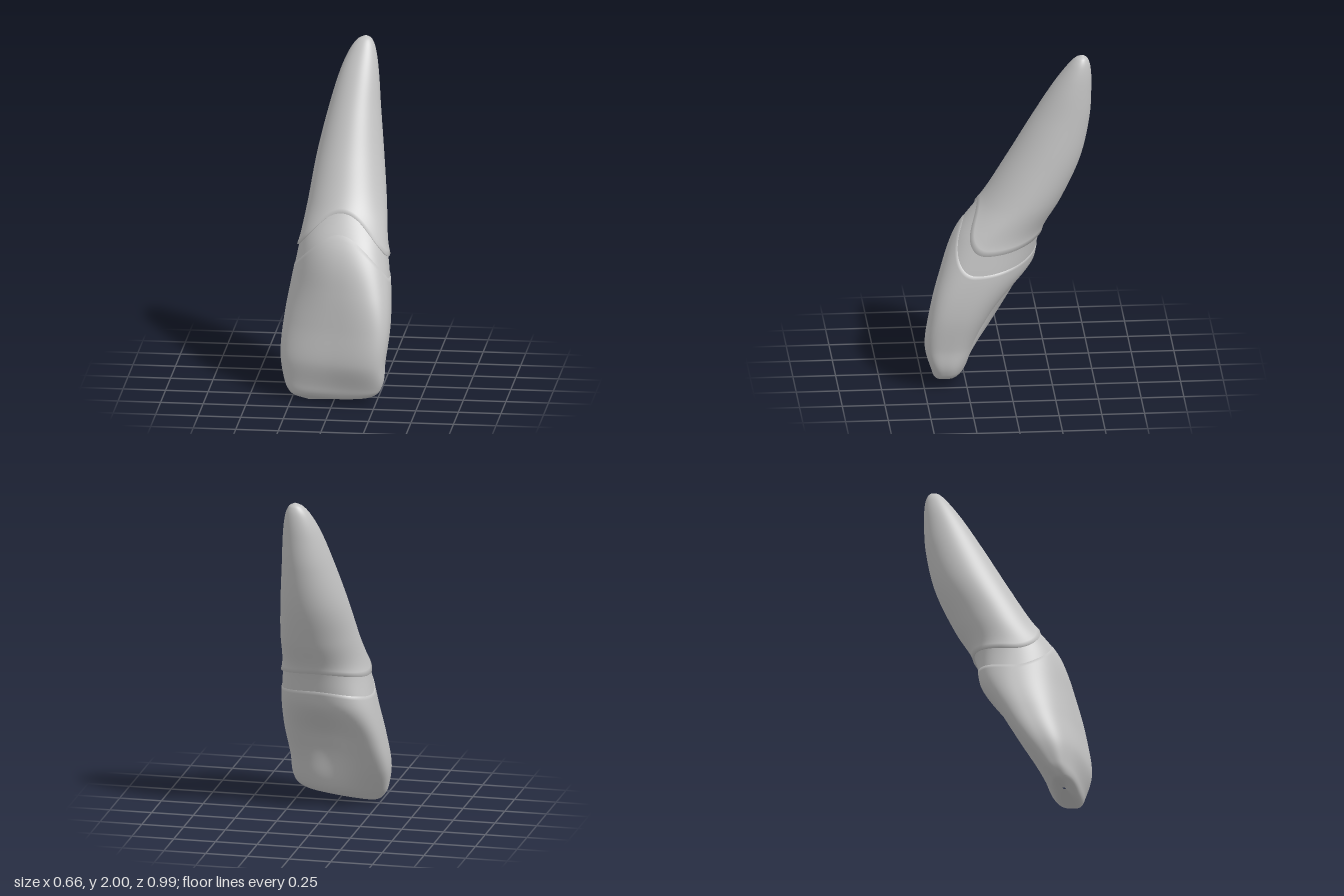
import * as THREE from 'three';

const { smoothstep, lerp, clamp } = THREE.MathUtils;

// Outline of the tooth by height: y, xMin, xMax, zBack, zFront
const outline = [
  [0, -0.16, -0.14, 0.31, 0.33],
  [0.015, -0.23, 0.02, 0.26, 0.37],
  [0.04, -0.267, 0.21, 0.23, 0.427],
  [0.1, -0.3, 0.285, 0.175, 0.455],
  [0.25, -0.33, 0.305, 0.06, 0.494],
  [0.45, -0.317, 0.327, -0.06, 0.47],
  [0.65, -0.284, 0.32, -0.162, 0.417],
  [0.9, -0.235, 0.286, -0.205, 0.315],
  [1.1, -0.2, 0.262, -0.315, 0.16],
  [1.35, -0.162, 0.23, -0.428, 0.005],
  [1.6, -0.105, 0.2, -0.482, -0.14],
  [1.8, -0.047, 0.18, -0.492, -0.26],
  [1.92, 0.006, 0.159, -0.486, -0.343],
  [1.98, 0.053, 0.133, -0.467, -0.395],
  [2, 0.095, 0.1, -0.438, -0.433],
];

// Smooth (Hermite) interpolation between neighbouring outline rows
function outlineAt(y) {
  const last = outline.length - 1;
  let i = 0;
  while (i < last - 1 && y > outline[i + 1][0]) i++;
  const a = outline[i], b = outline[i + 1], h = b[0] - a[0];
  const t = clamp((y - a[0]) / h, 0, 1), t2 = t * t, t3 = t2 * t;
  const p = outline[Math.max(i - 1, 0)], q = outline[Math.min(i + 2, last)];
  return a.map((v, c) => {
    const m0 = ((b[c] - p[c]) / (b[0] - p[0])) * h;
    const m1 = ((q[c] - a[c]) / (q[0] - a[0])) * h;
    return (2 * t3 - 3 * t2 + 1) * v + (t3 - 2 * t2 + t) * m0
      + (3 * t2 - 2 * t3) * b[c] + (t3 - t2) * m1;
  });
}

// Surface point at an angle (0 = +x, 90 degrees = front) and height
function surfacePoint(angle, y, swell) {
  const [, x0, x1, z0, z1] = outlineAt(y);
  // the crown is squarer and turned; the root is oval and straight
  const n = 3 - smoothstep(y, 0.3, 1.1);
  const skew = 0.6 * (1 - smoothstep(y, 0.3, 1.2));
  const c = Math.cos(angle), s = Math.sin(angle);
  const r = swell / Math.pow(Math.abs(c) ** n + Math.abs(s) ** n, 1 / n);
  const u = c * r, v = s * r, p = n / (n - 1);
  const depth = (z1 - z0) / 2 / Math.pow(1 + skew ** p, 1 / p);
  const x = (x0 + x1) / 2 + u * (x1 - x0) / 2;
  let z = (z0 + z1) / 2 + depth * (v + skew * u);
  // scooped hollow on the back of the crown
  const hollow = 0.1 * smoothstep(y, 0.03, 0.35) * (1 - smoothstep(y, 0.42, 0.7));
  if (s < 0) z += hollow * Math.exp(-(((x - 0.02) / 0.15) ** 2)) * Math.min(1, -v * 1.3);
  return [x, y, z];
}

// Scalloped gum lines: high at the front, low at the sides
const upperLine = (a) => {
  const s = Math.sin(a);
  return 0.845 - 0.012 * Math.cos(a) + (s > 0 ? 0.245 : 0.05) * s * s;
};
const lowerLine = (a) => upperLine(a) - 0.12 + 0.01 * Math.max(Math.sin(a), 0);

// Loft rows of rings; ring(row, angle) gives [height, swell]
function loft(rows, ring) {
  const sides = 112, positions = [], index = [];
  for (let j = 0; j <= rows; j++) {
    for (let i = 0; i < sides; i++) {
      const a = (i / sides) * Math.PI * 2;
      const [y, swell] = ring(j, a);
      positions.push(...surfacePoint(a, y, swell));
      if (j === rows) continue;
      const p = j * sides + i, next = j * sides + (i + 1) % sides;
      index.push(p, p + sides, next, next, p + sides, next + sides);
    }
  }
  const geometry = new THREE.BufferGeometry();
  geometry.setAttribute('position', new THREE.Float32BufferAttribute(positions, 3));
  geometry.setIndex(index);
  geometry.computeVertexNormals();
  return geometry;
}

export function createModel() {
  const model = new THREE.Group();
  model.name = 'tooth';
  const paleGrey = new THREE.MeshStandardMaterial({ color: 0xc4c4c4 });
  paleGrey.name = 'pale grey';
  const add = (name, geometry) => {
    const mesh = new THREE.Mesh(geometry, paleGrey);
    mesh.name = name;
    model.add(mesh);
  };

  // crown, its top rim tucked inwards
  add('crown', loft(57, (j, a) => {
    const t = Math.min(j / 56, 1);
    return [lowerLine(a) * Math.pow(t, 1.6), j === 57 ? 0.95 : 1];
  }));

  // narrow neck band between the two gum lines
  add('neckBand', loft(12, (j, a) => [
    lerp(lowerLine(a) - 0.01, upperLine(a) + 0.02, j / 12), 0.988,
  ]));

  // root with a slightly flared hem
  add('root', loft(64, (j, a) => {
    const t = Math.max(j - 1, 0) / 63, start = upperLine(a);
    const y = start + (2 - start) * (1 - Math.pow(1 - t, 1.6));
    return [y, j === 0 ? 0.96 : 1 + 0.035 * Math.exp(-(y - start) / 0.04)];
  }));

  return model;
}
